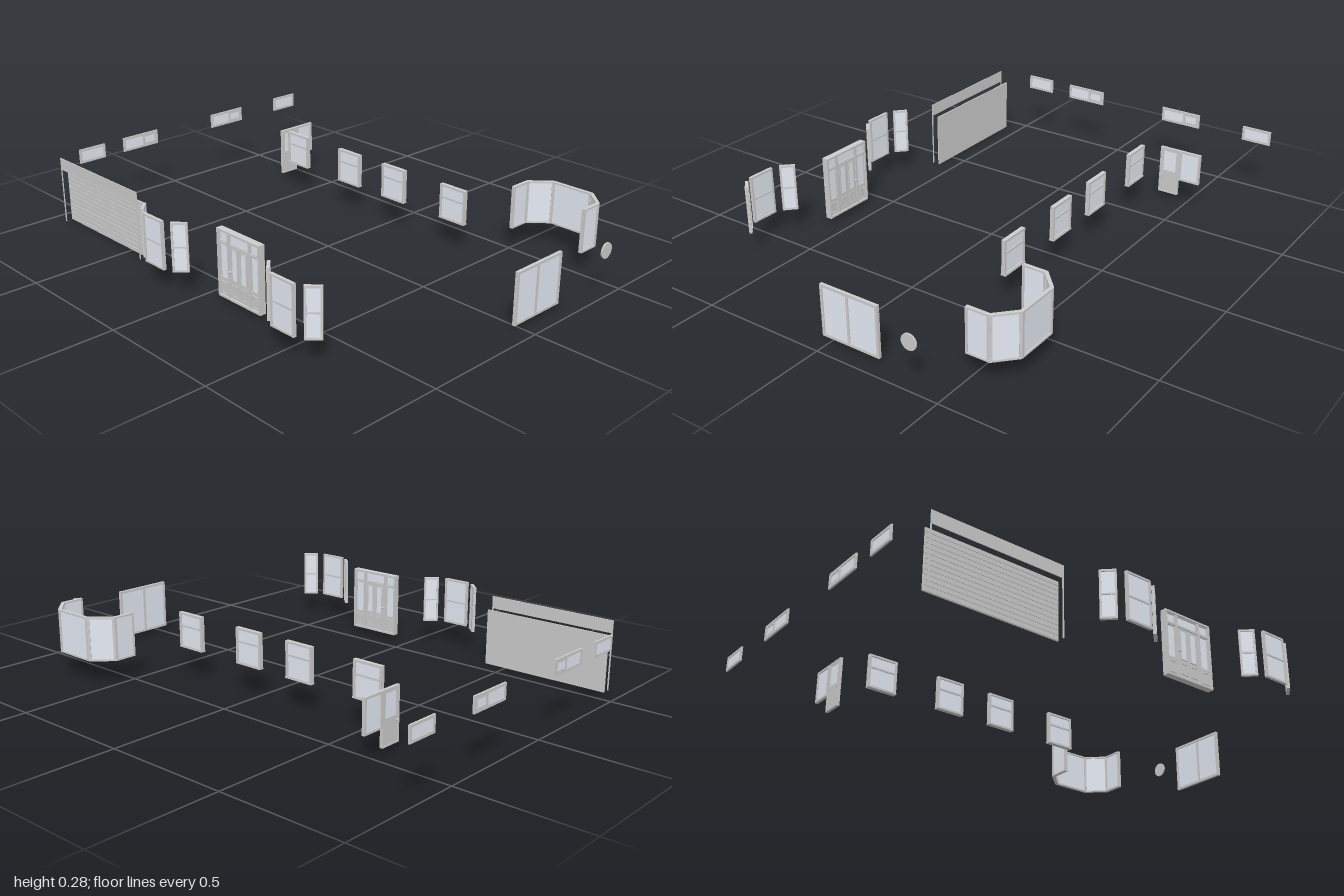
import * as THREE from 'three';

const grey = new THREE.MeshStandardMaterial({ color: 0xcccccc });
const glassMat = new THREE.MeshStandardMaterial({ color: 0xe4eaf4 });

function box(parent, name, w, h, d, x, y, z, mat = grey) {
  const m = new THREE.Mesh(new THREE.BoxGeometry(w, h, d), mat);
  m.name = name;
  m.position.set(x, y, z);
  parent.add(m);
  return m;
}

// Rectangular frame centred on its own origin, facing +z
function frame(parent, name, w, h, d, border, x = 0, y = 0, z = 0) {
  const rect = (S, a, b) => {
    const s = new S();
    s.moveTo(-a, -b).lineTo(a, -b).lineTo(a, b).lineTo(-a, b).closePath();
    return s;
  };
  const shape = rect(THREE.Shape, w / 2, h / 2);
  shape.holes.push(rect(THREE.Path, w / 2 - border, h / 2 - border));
  const geo = new THREE.ExtrudeGeometry(shape, { depth: d, bevelEnabled: false });
  geo.translate(0, 0, -d / 2);
  const m = new THREE.Mesh(geo, grey);
  m.name = name;
  m.position.set(x, y, z);
  parent.add(m);
}

// Group standing on the floor-plan line a -> b, between heights y0 and y1
function wallGroup(root, name, a, b, y0, y1) {
  const g = new THREE.Group();
  const dx = b[0] - a[0], dz = b[1] - a[1];
  g.name = name;
  g.position.set((a[0] + b[0]) / 2, (y0 + y1) / 2, (a[1] + b[1]) / 2);
  g.rotation.y = Math.atan2(-dz, dx);
  root.add(g);
  return { g, w: Math.hypot(dx, dz), h: y1 - y0 };
}

// Glazed window with optional uprights and rails at fractions of its size
function glazed(root, name, a, b, y0, y1, { depth = 0.012, border = 0.009, uprights = [], rails = [] } = {}) {
  const { g, w, h } = wallGroup(root, name, a, b, y0, y1);
  frame(g, 'frame', w, h, depth, border);
  box(g, 'glass', w - border, h - border, depth * 0.3, 0, 0, 0, glassMat);
  for (const u of uprights) box(g, 'upright', border, h - border, depth * 0.8, (u - 0.5) * w, 0, 0);
  for (const r of rails) box(g, 'rail', w - border, border * 0.8, depth * 0.8, 0, (r - 0.5) * h, 0);
  return g;
}

function garageDoor(root) {
  const g = new THREE.Group();
  g.name = 'garageDoor';
  root.add(g);
  const cx = -0.67, w = 0.53, slats = 12, step = 0.225 / slats;
  box(g, 'doorPanel', w, 0.225, 0.005, cx, 0.1125, 0.573);
  for (let i = 0; i < slats; i++)
    box(g, 'slat', w - 0.006, step * 0.82, 0.003, cx, (i + 0.5) * step, 0.576);
  box(g, 'header', w, 0.05, 0.003, cx, 0.25, 0.603);
  for (const s of [-1, 1]) box(g, 'sidePost', 0.005, 0.225, 0.003, cx + s * (w / 2 - 0.0025), 0.1125, 0.603);
}

function entrance(root) {
  const { g, w, h } = wallGroup(root, 'entrance', [0.07, 0.589], [0.295, 0.589], 0.02, 0.28);
  const depth = 0.026;
  frame(g, 'outerFrame', w, h, depth, 0.008);
  box(g, 'transomRail', w, 0.008, depth * 0.8, 0, 0.08, 0);
  for (const s of [-1, 1]) {
    box(g, 'jamb', 0.009, h - 0.008, depth * 0.8, s * 0.056, 0, 0);
    // sidelights: glass above a solid panel
    const x = s * 0.083;
    box(g, 'sidelightGlass', 0.05, 0.14, 0.005, x, 0.01, 0, glassMat);
    box(g, 'sidelightPanel', 0.05, 0.07, 0.012, x, -0.092, 0);
    frame(g, 'panelMoulding', 0.034, 0.048, 0.018, 0.004, x, -0.092, 0);
    frame(g, 'sidelightSash', 0.05, 0.14, 0.014, 0.007, x, 0.01, 0);
  }
  // transom lights
  for (const [x, tw] of [[-0.083, 0.05], [0, 0.105], [0.083, 0.05]]) {
    box(g, 'transomGlass', tw, 0.042, 0.005, x, 0.103, 0, glassMat);
    frame(g, 'transomSash', tw, 0.042, 0.014, 0.005, x, 0.103, 0);
  }
  // door leaf with two tall lights over two panels
  const door = new THREE.Group();
  door.name = 'frontDoor';
  g.add(door);
  box(door, 'doorLeaf', 0.104, 0.204, 0.012, 0, -0.025, 0);
  for (const s of [-1, 1]) {
    box(door, 'doorGlass', 0.026, 0.115, 0.015, s * 0.024, 0.009, 0, glassMat);
    frame(door, 'doorGlassTrim', 0.033, 0.122, 0.018, 0.004, s * 0.024, 0.009, 0);
    frame(door, 'doorPanelTrim', 0.033, 0.045, 0.018, 0.004, s * 0.024, -0.088, 0);
    const knob = new THREE.Mesh(new THREE.SphereGeometry(0.005, 12, 8), grey);
    knob.name = 'doorKnob';
    knob.position.set(-0.046, -0.02, s * 0.011);
    door.add(knob);
  }
}

export function createModel() {
  const root = new THREE.Group();
  root.name = 'houseWindowsAndDoors';

  garageDoor(root);
  entrance(root);

  // Two angled front bays, three double-hung windows each
  for (const cx of [-0.16, 0.528]) {
    const opts = { rails: [0.5], border: 0.008 };
    glazed(root, 'bayCentreWindow', [cx - 0.056, 0.703], [cx + 0.056, 0.703], 0.09, 0.28, opts);
    glazed(root, 'baySideWindow', [cx - 0.128, 0.648], [cx - 0.084, 0.69], 0.09, 0.28, opts);
    glazed(root, 'baySideWindow', [cx + 0.084, 0.69], [cx + 0.128, 0.648], 0.09, 0.28, opts);
  }

  // Back wall windows
  for (const x of [-0.533, -0.219, 0.033, 0.345]) {
    const g = glazed(root, 'backWindow', [x + 0.062, -0.335], [x - 0.062, -0.335], 0.115, 0.255,
      { depth: 0.016, rails: [0.62] });
    box(g, 'sill', 0.124, 0.006, 0.02, 0, -0.067, 0);
  }

  // High windows along the right wall; the wide ones have a sliding sash
  for (const [z0, z1] of [[-0.717, -0.593], [-0.393, -0.216], [0.083, 0.26], [0.353, 0.477]]) {
    const wide = z1 - z0 > 0.15;
    const g = glazed(root, 'highWindow', [-0.996, z0], [-0.996, z1], 0.202, 0.262,
      { depth: 0.007, border: 0.01, uprights: wide ? [0.4] : [] });
    if (wide) frame(g, 'slidingSash', 0.07, 0.046, 0.006, 0.009, -0.047, 0, 0);
  }

  // Side door with a shorter window beside it
  const side = wallGroup(root, 'sideDoor', [-0.69, -0.458], [-0.69, -0.372], 0.025, 0.225);
  frame(side.g, 'doorFrame', side.w, side.h, 0.012, 0.006);
  box(side.g, 'lowerPanel', side.w - 0.006, 0.09, 0.008, 0, -0.052, 0);
  box(side.g, 'upperGlass', 0.066, 0.1, 0.004, 0, 0.04, 0, glassMat);
  frame(side.g, 'upperSash', 0.08, 0.11, 0.009, 0.012, 0, 0.042, 0);
  const handle = new THREE.Mesh(new THREE.SphereGeometry(0.005, 12, 8), grey);
  handle.name = 'sideDoorKnob';
  handle.scale.z = 2;
  handle.position.set(0.034, -0.02, 0);
  side.g.add(handle);
  glazed(root, 'sideDoorWindow', [-0.69, -0.55], [-0.69, -0.458], 0.095, 0.225);

  // Five-sided glazed bay at the back
  const bay = [[0.83, -0.487], [0.83, -0.577], [0.757, -0.645], [0.585, -0.645], [0.512, -0.577], [0.512, -0.487]];
  for (let i = 0; i < 5; i++)
    glazed(root, 'backBayWindow', bay[i], bay[i + 1], 0.09, 0.263, { depth: 0.014, border: 0.007 });
  for (const [x, z] of bay.slice(1, 5)) {
    const post = new THREE.Mesh(new THREE.CylinderGeometry(0.007, 0.007, 0.173, 8), grey);
    post.name = 'bayCornerPost';
    post.position.set(x, 0.1765, z);
    root.add(post);
  }

  // Sliding patio door on the left wall
  glazed(root, 'patioDoor', [0.931, 0.03], [0.931, -0.215], 0.017, 0.217, { border: 0.01, uprights: [0.47] });

  // Round window
  const round = new THREE.Mesh(new THREE.CylinderGeometry(0.03, 0.03, 0.006, 32), grey);
  round.name = 'roundWindow';
  round.rotation.z = Math.PI / 2;
  round.position.set(0.997, 0.184, -0.393);
  root.add(round);

  return root;
}
